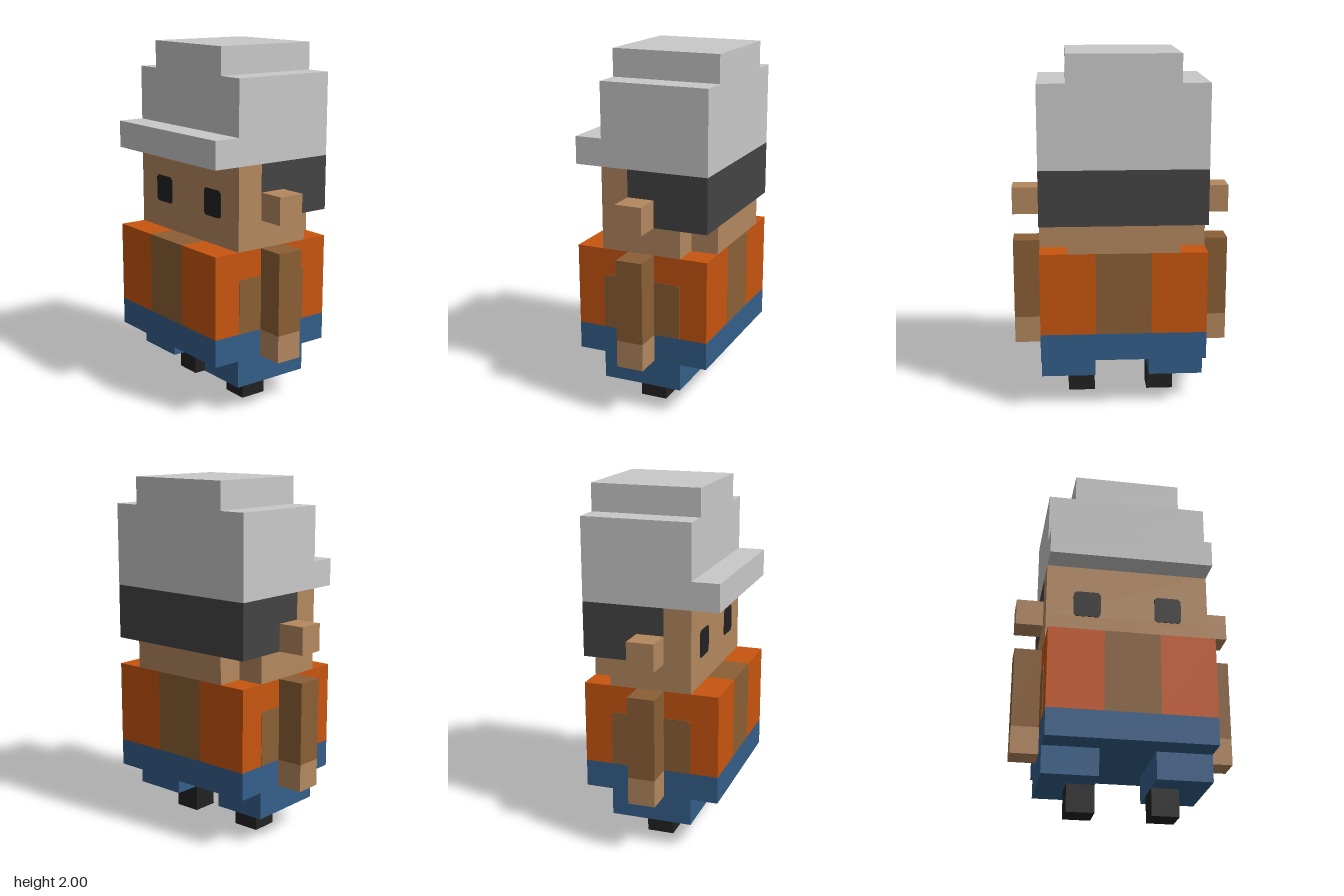
import * as THREE from 'three';

const U = 2 / 13; // one voxel

function mat(name, color) {
  const m = new THREE.MeshStandardMaterial({ color });
  m.name = name;
  return m;
}

export function createModel() {
  const group = new THREE.Group();
  group.name = 'blockFigure';

  const skin = mat('skin', 0xb4885f);
  const knit = mat('lightGrey', 0xc9c9c9);
  const hair = mat('darkGrey', 0x444444);
  const black = mat('black', 0x222222);
  const orange = mat('orange', 0xc8550f);
  const brown = mat('brown', 0x8b5f35);
  const blue = mat('blue', 0x345f8a);

  // Box given by its limits in voxels
  function box(name, material, [x0, x1], [y0, y1], [z0, z1]) {
    const mesh = new THREE.Mesh(
      new THREE.BoxGeometry((x1 - x0) * U, (y1 - y0) * U, (z1 - z0) * U), material);
    mesh.position.set((x0 + x1) / 2 * U, (y0 + y1) / 2 * U, (z0 + z1) / 2 * U);
    mesh.name = name;
    group.add(mesh);
    return mesh;
  }

  // Thin plate with small clipped corners, facing +z before it is turned
  function plate(name, material, w, h, topCut, bottomCut) {
    const a = w / 2 * U, b = h / 2 * U, t = topCut * U, c = bottomCut * U;
    const s = new THREE.Shape([
      [-a + c, -b], [a - c, -b], [a, -b + c], [a, b - t],
      [a - t, b], [-a + t, b], [-a, b - t], [-a, -b + c],
    ].map(([x, y]) => new THREE.Vector2(x, y)));
    const mesh = new THREE.Mesh(
      new THREE.ExtrudeGeometry(s, { depth: 0.003, bevelEnabled: false }), material);
    mesh.name = name;
    group.add(mesh);
    return mesh;
  }

  // Hips and shirt
  box('hips', blue, [-3, 3], [2, 3], [-2.5, 2.5]);
  box('shirtCentre', brown, [-1, 1], [3, 6], [-2.5, 2.5]);

  // Head: jaw, nape, face and hair wrapping the back
  box('jaw', skin, [-3, 3], [6, 7], [-1.5, 1.5]);
  box('nape', skin, [-2, 2], [6, 7], [-2.5, -1.5]);
  box('face', skin, [-3, 3], [7, 9], [0.5, 1.5]);
  box('hair', hair, [-3, 3], [7, 9], [-2.5, 0.5]);

  // Hat with front brim
  box('hat', knit, [-3, 3], [9, 12], [-2.5, 1.5]);
  box('hatBrim', knit, [-3, 3], [9, 10], [1.5, 2.5]);
  box('hatTop', knit, [-2, 2], [12, 13], [-2.5, 1.5]);

  // Mirrored parts
  for (const [side, s] of [['left', 1], ['right', -1]]) {
    const span = (a, b) => (s > 0 ? [a, b] : [-b, -a]);
    box(side + 'Foot', black, span(1, 2), [0, 1], [-0.5, 0.5]);
    box(side + 'Leg', blue, span(1, 3), [1, 2], [-1.5, 1.5]);
    box(side + 'ShirtPanel', orange, span(1, 3), [3, 6], [-2.5, 2.5]);
    box(side + 'Hand', skin, span(3, 4), [2, 3], [-0.5, 0.5]);
    box(side + 'Sleeve', brown, span(3, 4), [3, 6], [-0.5, 0.5]);
    box(side + 'Ear', skin, span(3, 4), [7, 8], [-0.5, 0.5]);

    const eye = plate(side + 'Eye', black, 1, 1, 0.1, 0.1);
    eye.position.set(s * 1.5 * U, 7.5 * U, 1.5 * U);

    const patch = plate(side + 'ShirtSidePatch', brown, 2.95, 2, 0.1, 0);
    patch.position.set(s * 3 * U, 4 * U, 0);
    patch.rotation.y = s * Math.PI / 2;
  }

  return group;
}
